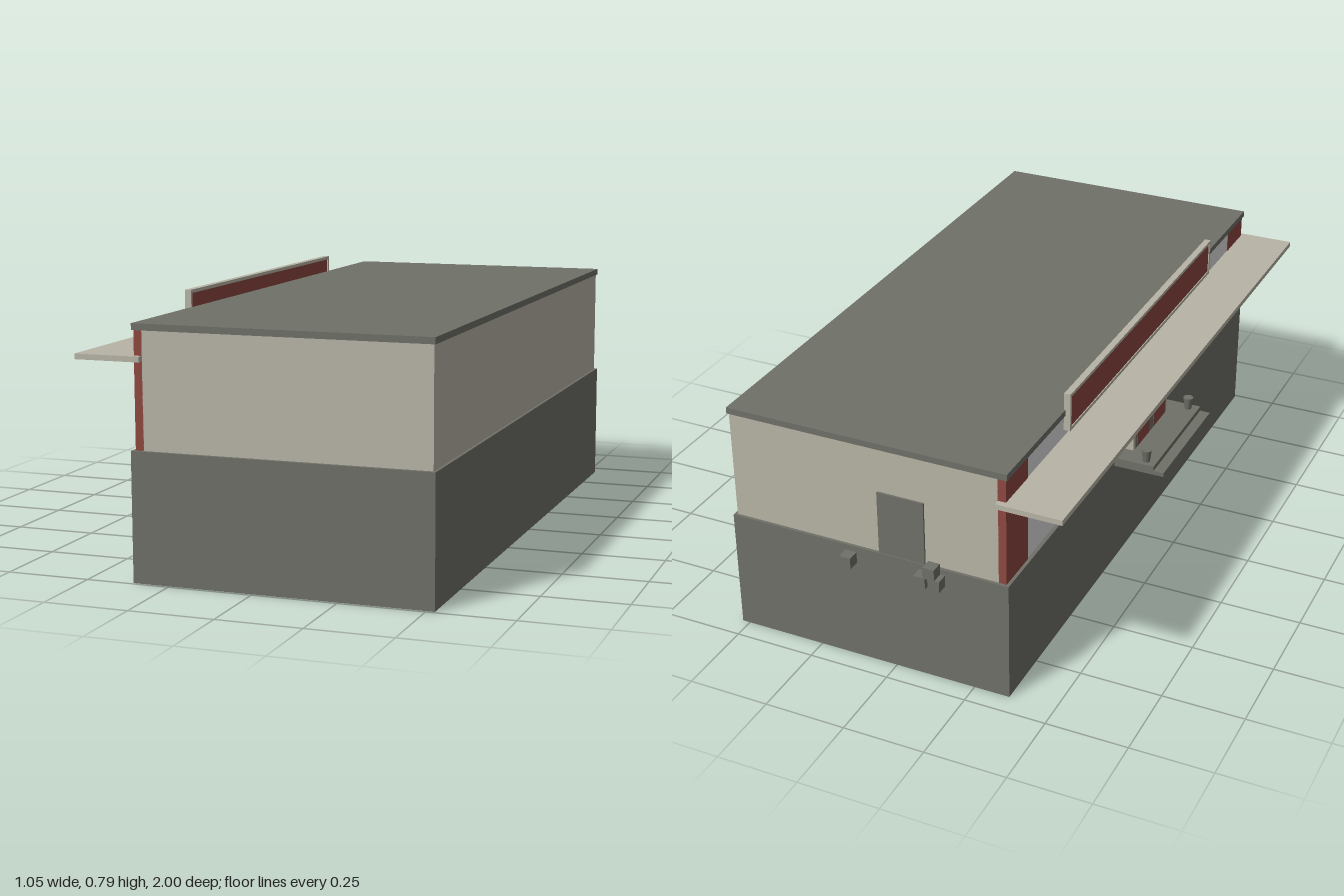
import * as THREE from 'three';

const mat = (name, color) => {
  const m = new THREE.MeshStandardMaterial({ color });
  m.name = name;
  return m;
};

export function createModel() {
  const model = new THREE.Group();
  const dark = mat('dark grey', 0x6f7068);
  const beige = mat('beige', 0xb8b5a6);
  const red = mat('brick red', 0x8e4740);
  const pale = mat('pale grey', 0xe0e0e0);

  // Box given by its extents on each axis
  function box(name, material, [x0, x1], [y0, y1], [z0, z1], parent = model) {
    const mesh = new THREE.Mesh(new THREE.BoxGeometry(x1 - x0, y1 - y0, z1 - z0), material);
    mesh.position.set((x0 + x1) / 2, (y0 + y1) / 2, (z0 + z1) / 2);
    mesh.name = name;
    parent.add(mesh);
  }
  const mid = 0.0275; // middle of the building along z

  // Main building: base, walls with a pale street facade, flat roof
  box('base', dark, [-0.36, 0.524], [0, 0.377], [-0.935, 0.992]);
  box('walls', beige, [-0.326, 0.515], [0.377, 0.715], [-0.926, 0.981]);
  box('facade', pale, [-0.348, -0.326], [0.377, 0.715], [-0.785, 0.84]);
  box('roof', dark, [-0.355, 0.52], [0.714, 0.733], [-0.931, 0.986]);

  // Red corner pillars
  for (const s of [-1, 1]) {
    const a = mid + s * 0.9535, b = mid + s * 0.8125;
    box('cornerPillar', red, [-0.35, -0.325], [0.377, 0.714], [Math.min(a, b), Math.max(a, b)]);
  }

  // Long canopy on tapered brackets
  box('canopy', beige, [-0.523, -0.326], [0.627, 0.643], [-0.945, 1.0]);
  const profile = new THREE.Shape();
  profile.moveTo(-0.505, 0.627);
  profile.lineTo(-0.345, 0.582);
  profile.lineTo(-0.345, 0.627);
  const bracketGeometry = new THREE.ExtrudeGeometry(profile, { depth: 0.016, bevelEnabled: false });
  for (let i = -2; i <= 2; i++) {
    const bracket = new THREE.Mesh(bracketGeometry, dark);
    bracket.position.z = mid + i * 0.36 - 0.008;
    bracket.name = 'canopyBracket';
    model.add(bracket);
  }

  // Framed sign board above the canopy
  const sign = new THREE.Group();
  sign.name = 'signBoard';
  model.add(sign);
  box('signPanel', red, [-0.367, -0.353], [0.672, 0.778], [-0.54, 0.595], sign);
  for (const y of [0.667, 0.775]) box('signRail', beige, [-0.37, -0.35], [y, y + 0.01], [-0.545, 0.601], sign);
  for (const z of [-0.545, 0.591]) box('signEnd', beige, [-0.37, -0.35], [0.667, 0.785], [z, z + 0.01], sign);

  // Entrance porch with red double doors in a dark surround
  const porch = new THREE.Group();
  porch.name = 'entrance';
  model.add(porch);
  box('porchBody', beige, [-0.396, -0.345], [0.377, 0.573], [mid - 0.14, mid + 0.14], porch);
  box('porchCap', beige, [-0.403, -0.345], [0.573, 0.584], [mid - 0.147, mid + 0.147], porch);
  box('doorSurround', dark, [-0.398, -0.395], [0.377, 0.565], [mid - 0.128, mid + 0.128], porch);
  for (const s of [-1, 1]) {
    const c = mid + s * 0.067;
    box('door', red, [-0.4, -0.397], [0.38, 0.557], [c - 0.048, c + 0.048], porch);
    box('doorHandle', dark, [-0.403, -0.399], [0.437, 0.47], [c - s * 0.038 - 0.004, c - s * 0.038 + 0.004], porch);
  }

  // Landing, lower step and tapered planters
  box('landing', dark, [-0.488, -0.36], [0.349, 0.377], [mid - 0.205, mid + 0.205]);
  box('step', dark, [-0.521, -0.488], [0.349, 0.362], [mid - 0.205, mid + 0.205]);
  for (const s of [-1, 1]) {
    const planter = new THREE.Mesh(new THREE.CylinderGeometry(0.016, 0.011, 0.039, 12), dark);
    planter.position.set(-0.455, 0.3965, mid + s * 0.18);
    planter.name = 'planter';
    model.add(planter);
  }

  // Facade window with a beige frame
  const win = new THREE.Group();
  win.name = 'window';
  model.add(win);
  box('windowPane', dark, [-0.351, -0.347], [0.445, 0.545], [-0.36, -0.24], win);
  for (const y of [0.435, 0.539]) box('windowRail', beige, [-0.357, -0.347], [y, y + 0.016], [-0.37, -0.23], win);
  for (const z of [-0.37, -0.246]) box('windowPost', beige, [-0.356, -0.347], [0.436, 0.554], [z, z + 0.016], win);

  // Service door and loose crates at the rear end
  box('serviceDoor', dark, [-0.1, 0.045], [0.377, 0.576], [-0.932, -0.925]);
  const crates = [[-0.179, 0.346], [-0.135, 0.346], [-0.164, 0.381], [0.1, 0.346]];
  for (const [x, y] of crates) box('crate', dark, [x, x + 0.036], [y, y + 0.035], [-1.0, -0.963]);

  return model;
}
